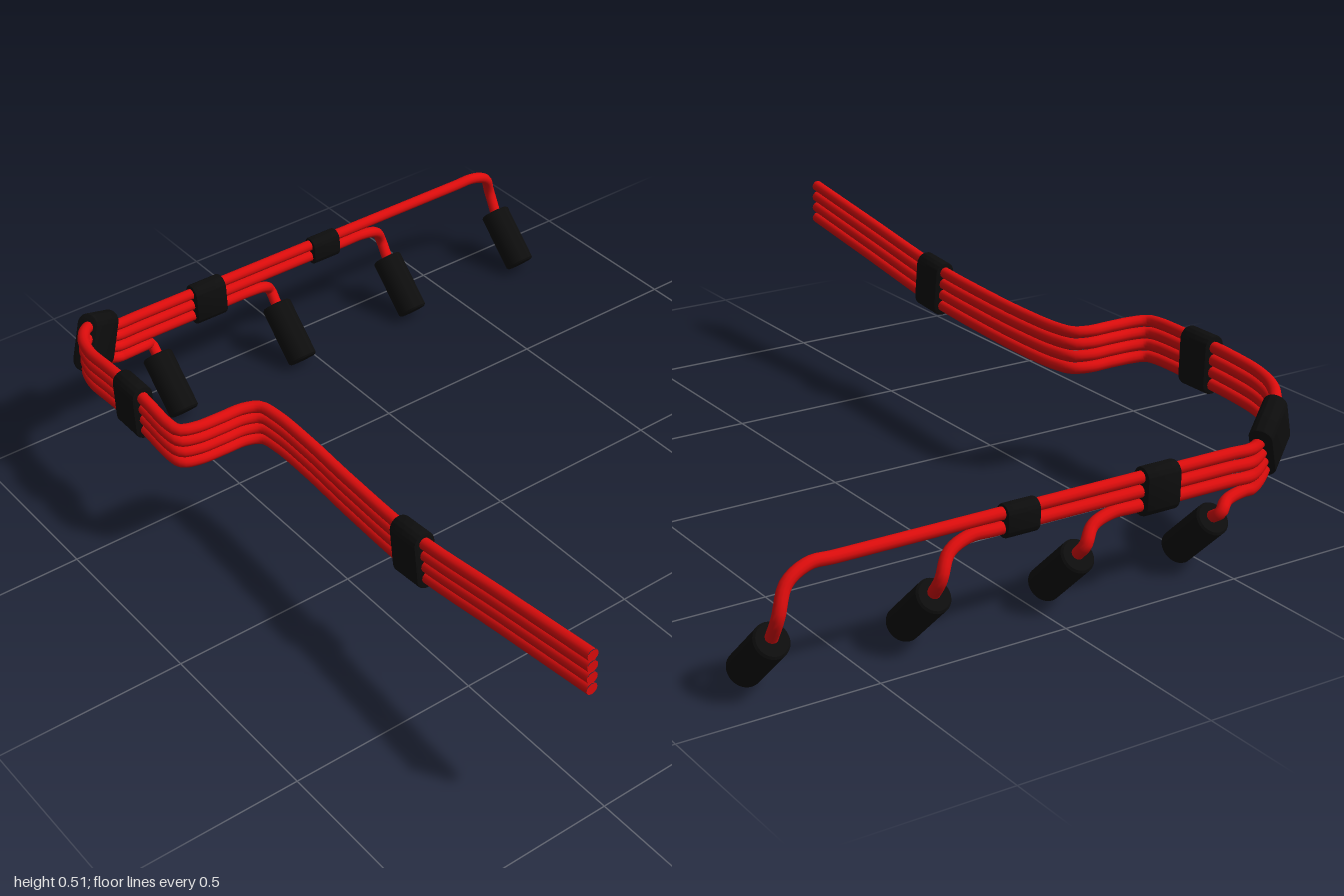
import * as THREE from 'three';
import { toCreasedNormals } from 'three/addons/utils/BufferGeometryUtils.js';

const V = (x, y, z) => new THREE.Vector3(x, y, z);
const WIRE_R = 0.0155;
const RAIL_Z = -0.955;

// Centre line of the bundle, from the loose ends to the start of the rail
const BUNDLE = [
  [-0.55, 0.453, 1], [-0.55, 0.412, 0.7], [-0.55, 0.366, 0.36], [-0.54, 0.356, 0.1],
  [-0.531, 0.356, -0.1], [-0.533, 0.358, -0.23], [-0.546, 0.36, -0.285], [-0.585, 0.361, -0.304],
  [-0.65, 0.362, -0.306], [-0.72, 0.363, -0.31], [-0.76, 0.365, -0.325], [-0.768, 0.367, -0.36],
  [-0.764, 0.37, -0.46], [-0.76, 0.371, -0.54], [-0.76, 0.366, -0.66], [-0.757, 0.357, -0.76],
  [-0.737, 0.349, -0.83], [-0.7, 0.338, -0.885], [-0.655, 0.312, -0.921], [-0.605, 0.272, -0.948],
  [-0.575, 0.258, RAIL_Z],
];
const BOOT_X = [0.745, 0.335, -0.06, -0.46]; // top wire reaches furthest

export function createModel() {
  const root = new THREE.Group();
  const red = new THREE.MeshStandardMaterial({ color: 0xdd0c0c });
  const black = new THREE.MeshStandardMaterial({ color: 0x0d0d0d });
  const add = (geo, mat, name, parent = root) => {
    const mesh = new THREE.Mesh(geo, mat);
    mesh.name = name;
    parent.add(mesh);
    return mesh;
  };

  // Wires: stacked vertically, each leaving the rail to hook down into its boot
  BOOT_X.forEach((X, k) => {
    const pts = BUNDLE.map(([x, y, z], i) => {
      const gap = i > 17 ? 0.035 : 0.033;
      return V(x, y + (1.5 - k) * gap, z);
    });
    const Y = pts[pts.length - 1].y;
    const d = Y - 0.17;
    if (X > -0.3) pts.push(V(-0.5, Y, RAIL_Z), V(X - 0.16, Y, RAIL_Z));
    pts.push(
      V(X - 0.09, Y, RAIL_Z),
      V(X - 0.03, Y - 0.2 * d, -0.966),
      V(X, 0.17 + 0.35 * d, -0.984),
      V(X, 0.16, -0.955),
    );
    const wire = new THREE.Group();
    wire.name = 'wire' + (k + 1);
    root.add(wire);
    const path = new THREE.CatmullRomCurve3(pts);
    add(new THREE.TubeGeometry(path, 240, WIRE_R, 12), red, 'cable', wire);
    add(new THREE.CircleGeometry(WIRE_R, 12), red, 'cutEnd', wire).position.copy(pts[0]);
  });

  // Boots: cylinders with softened rims, tilted down and forward
  const L = 0.0885, R = 0.043, b = 0.005;
  const profile = [[0, -L], [R - b, -L], [R, -L + b], [R, L - b], [R - b, L], [0, L]]
    .map(([x, y]) => new THREE.Vector2(x, y));
  const bootGeo = toCreasedNormals(new THREE.LatheGeometry(profile, 32), 0.6);
  for (const X of BOOT_X) {
    const boot = add(bootGeo, black, 'boot');
    boot.position.set(X, 0.095, -0.896);
    boot.rotation.x = -Math.PI / 4;
  }

  // Separator clips: stadium section extruded along the wires
  const addClip = (pos, dir, length, height, width, name) => {
    const bevel = 0.005, r = width / 2 - bevel, h = height / 2 - width / 2;
    const shape = new THREE.Shape();
    shape.absarc(0, h, r, 0, Math.PI);
    shape.absarc(0, -h, r, Math.PI, Math.PI * 2);
    shape.closePath();
    const depth = length - 2 * bevel;
    const geo = new THREE.ExtrudeGeometry(shape, {
      depth, curveSegments: 12, bevelSize: bevel, bevelThickness: bevel, bevelSegments: 2,
    });
    geo.translate(0, 0, -depth / 2);
    const clip = add(toCreasedNormals(geo, 0.6), black, name);
    clip.position.copy(pos);
    clip.lookAt(pos.clone().add(dir));
  };
  addClip(V(-0.55, 0.365, 0.36), V(0, 0.08, 1), 0.1, 0.157, 0.06, 'frontClip');
  addClip(V(-0.761, 0.371, -0.54), V(0, 0, 1), 0.1, 0.157, 0.06, 'middleClip');
  addClip(V(-0.657, 0.315, -0.92), V(0.1, -0.06, -0.06), 0.125, 0.157, 0.06, 'cornerClip');
  addClip(V(-0.285, 0.274, RAIL_Z), V(1, 0, 0), 0.098, 0.122, 0.058, 'threeWireClip');
  addClip(V(0.11, 0.291, RAIL_Z), V(1, 0, 0), 0.09, 0.082, 0.05, 'twoWireClip');

  return root;
}
